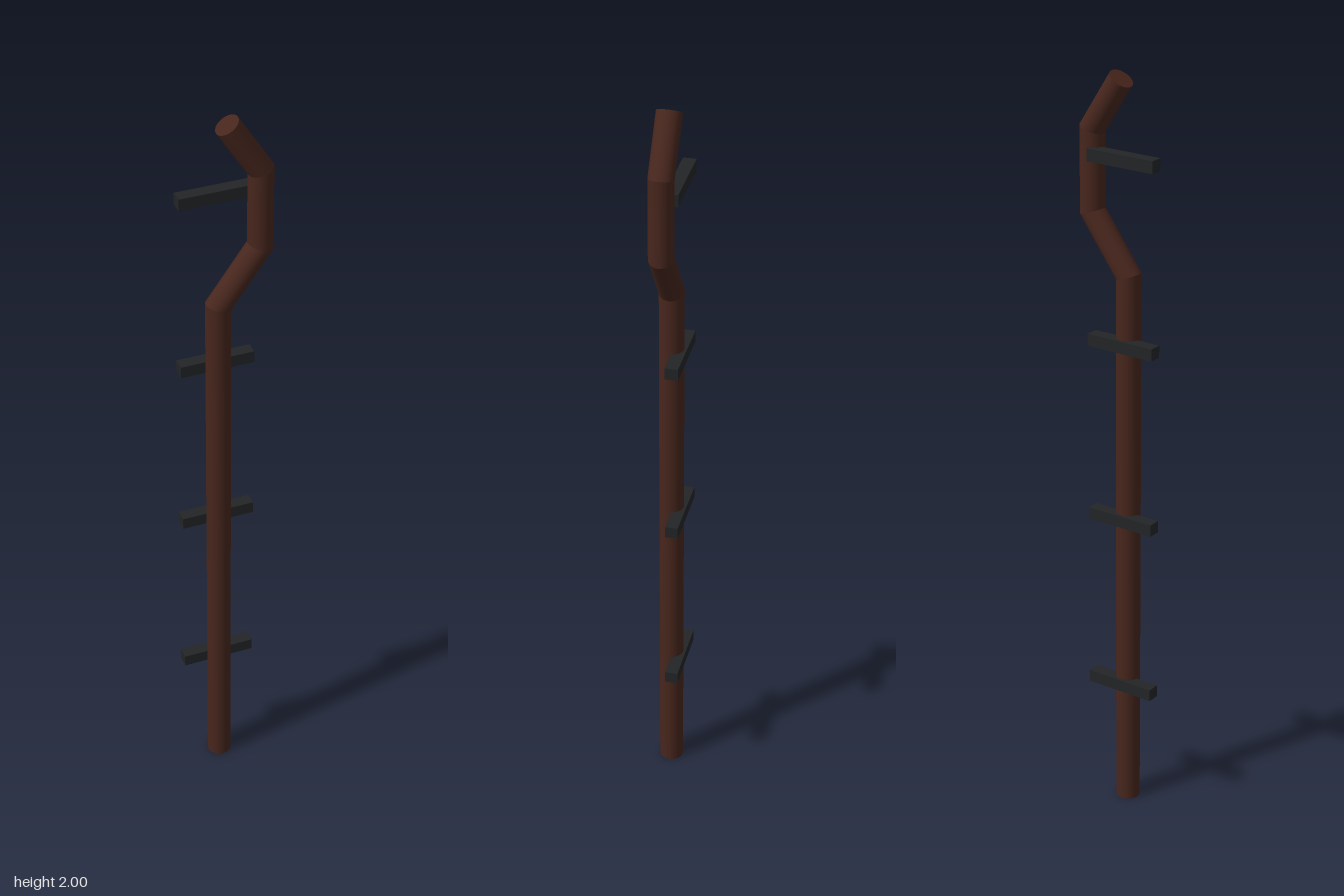
import * as THREE from 'three';

const RADIUS = 0.032;
const POLE_Z = 0.002;

// Straight length of pole between two points, its ends sheared to meet the neighbours in a mitre
function poleSection(from, to, tiltFrom, tiltTo, capped, material) {
  const axis = to.clone().sub(from);
  const length = axis.length();
  const tilt = Math.atan2(axis.x, axis.y);
  const geometry = new THREE.CylinderGeometry(RADIUS, RADIUS, length, 24, 1, !capped);
  const pos = geometry.attributes.position;
  for (let i = 0; i < pos.count; i++) {
    const mitre = (pos.getY(i) > 0 ? tiltTo : tiltFrom) - tilt;
    pos.setY(i, pos.getY(i) - pos.getX(i) * Math.tan(mitre));
  }
  const mesh = new THREE.Mesh(geometry, material);
  mesh.position.set((from.x + to.x) / 2, (from.y + to.y) / 2, POLE_Z);
  mesh.rotation.z = -tilt;
  return mesh;
}

export function createModel() {
  const model = new THREE.Group();
  model.name = 'bentPoleWithRungs';
  const wood = new THREE.MeshStandardMaterial({ color: 0x47261d });
  const dark = new THREE.MeshStandardMaterial({ color: 0x222426 });

  // Pole: a long straight shaft, then a crook of three mitred sections
  const path = [[-0.023, 0], [-0.023, 1.488], [0.086, 1.638], [0.086, 1.848], [0, 1.982]]
    .map(([x, y]) => new THREE.Vector2(x, y));
  const names = ['shaft', 'crookLower', 'crookMiddle', 'crookTip'];
  const tilts = names.map((_, i) => Math.atan2(path[i + 1].x - path[i].x, path[i + 1].y - path[i].y));
  const last = names.length - 1;
  const pole = new THREE.Group();
  pole.name = 'pole';
  names.forEach((name, i) => {
    const start = i === 0 ? tilts[0] : (tilts[i - 1] + tilts[i]) / 2;
    const end = i === last ? tilts[last] : (tilts[i] + tilts[i + 1]) / 2;
    const section = poleSection(path[i], path[i + 1], start, end, i === 0 || i === last, wood);
    section.name = name;
    pole.add(section);
  });
  model.add(pole);

  // Rungs: four evenly spaced bars set into the back of the pole
  const rungGeometry = new THREE.BoxGeometry(0.195, 0.032, 0.034);
  for (let i = 0; i < 4; i++) {
    const rung = new THREE.Mesh(rungGeometry, dark);
    rung.name = `rung${i + 1}`;
    rung.position.set(-0.022, 0.35 + i * 0.48, -0.02);
    model.add(rung);
  }
  return model;
}
